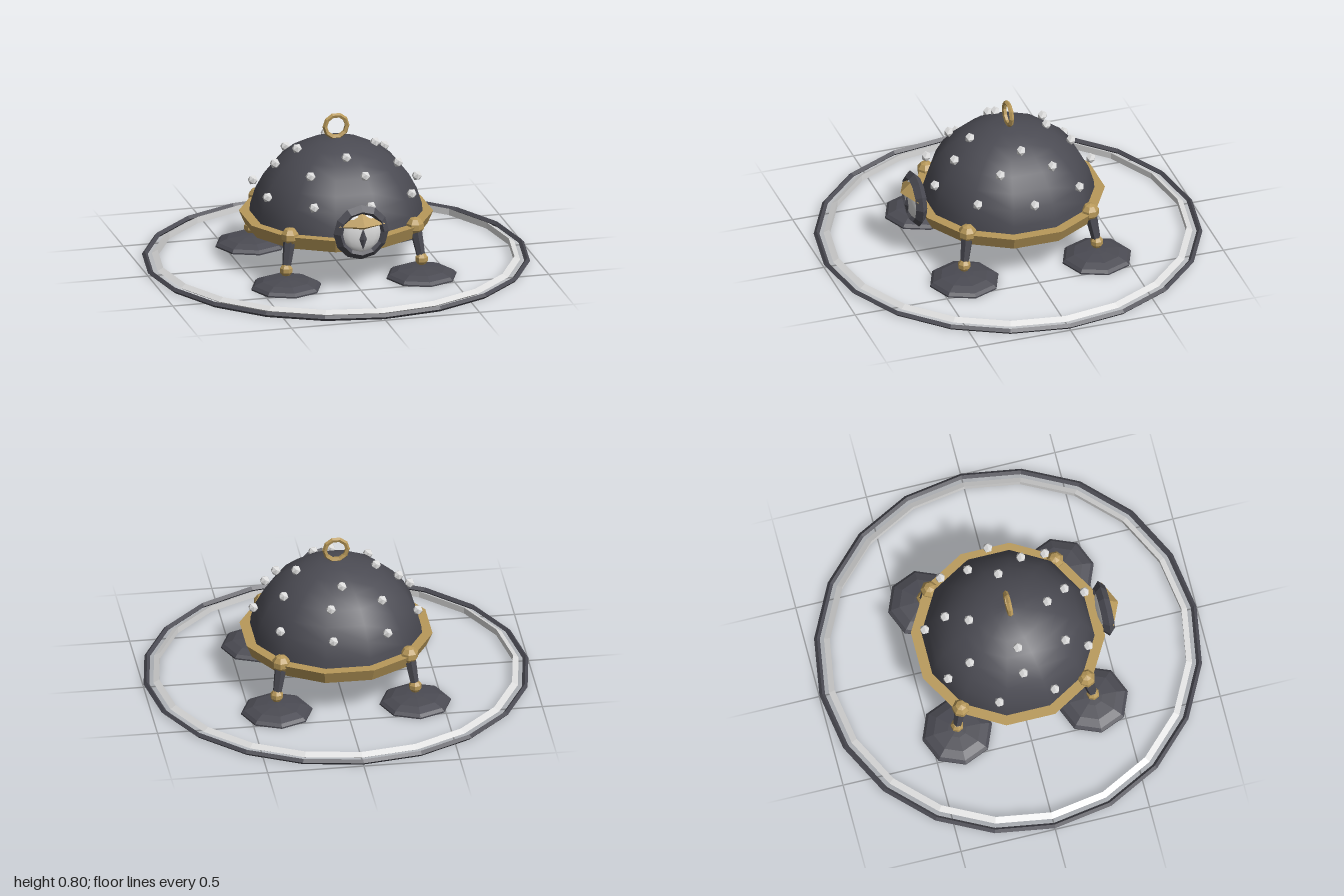
import * as THREE from 'three';

const flat = (name, color, flatShading = false) => {
  const m = new THREE.MeshStandardMaterial({ color, flatShading });
  m.name = name;
  return m;
};

export function createModel() {
  const model = new THREE.Group();
  const dark = flat('charcoal', 0x4b4b53);
  const gold = flat('gold', 0xb8995a);
  const light = flat('paleGrey', 0xdcdcdc);
  dark.name = 'charcoal';

  // Facets come from unshared normals, so each colour needs only one material
  const facet = (geo) => {
    const g = geo.index ? geo.toNonIndexed() : geo;
    g.computeVertexNormals();
    return g;
  };
  const add = (name, geo, mat, x = 0, y = 0, z = 0, parent = model) => {
    const mesh = new THREE.Mesh(geo, mat);
    mesh.name = name;
    mesh.position.set(x, y, z);
    parent.add(mesh);
    return mesh;
  };

  // Domed shell, twelve sides with flats facing front and sides
  const dome = [];
  for (let i = 0; i <= 8; i++) {
    const a = (i / 8) * Math.PI / 2;
    dome.push(new THREE.Vector2(0.45 * Math.cos(a) + 1e-5, 0.23 + 0.44 * Math.sin(a)));
  }
  add('domeShell', new THREE.LatheGeometry(dome, 12, Math.PI / 12), dark);

  // Rim and underside
  add('rim', facet(new THREE.CylinderGeometry(0.5, 0.47, 0.07, 12).rotateY(Math.PI / 12)), gold, 0, 0.24, 0);

  // Rows of studs: count, radius, height, start angle
  const studGeo = facet(new THREE.IcosahedronGeometry(0.027, 0));
  for (const [n, r, y, start] of [[4, 0.208, 0.628, 0], [7, 0.325, 0.557, Math.PI], [9, 0.43, 0.427, 0]]) {
    for (let i = 0; i < n; i++) {
      const a = start + (i / n) * Math.PI * 2;
      add('stud', studGeo, light, r * Math.cos(a), y, r * Math.sin(a));
    }
  }

  // Loop on top
  add('topLoop', facet(new THREE.TorusGeometry(0.059, 0.013, 5, 10)), gold, 0, 0.733, 0);

  // Four legs with round joints and wide shallow feet
  const foot = [[0, 0.004], [0.185, 0.004], [0.185, 0.012], [0.17, 0.026], [0.125, 0.044], [0.05, 0.053], [0, 0.056]]
    .map(([r, y]) => new THREE.Vector2(r, y));
  const footGeo = facet(new THREE.LatheGeometry(foot, 8));
  const hipGeo = facet(new THREE.SphereGeometry(0.048, 7, 5));
  const ankleGeo = facet(new THREE.SphereGeometry(0.035, 7, 5));
  const legGeo = facet(new THREE.CylinderGeometry(0.034, 0.022, 0.18, 6));
  for (const sx of [-1, 1]) for (const sz of [-1, 1]) {
    const leg = new THREE.Group();
    leg.name = 'leg';
    model.add(leg);
    const hip = new THREE.Vector3(sx * 0.333, 0.272, sz * 0.333);
    const ankle = new THREE.Vector3(sx * 0.36, 0.1, sz * 0.36);
    add('hipJoint', hipGeo, gold, hip.x, hip.y, hip.z, leg);
    add('ankleJoint', ankleGeo, gold, ankle.x, ankle.y, ankle.z, leg);
    const mid = hip.clone().add(ankle).multiplyScalar(0.5);
    const strut = add('strut', legGeo, dark, mid.x, mid.y, mid.z, leg);
    strut.quaternion.setFromUnitVectors(new THREE.Vector3(0, 1, 0), hip.clone().sub(ankle).normalize());
    add('foot', footGeo, dark, sx * 0.36, 0, sz * 0.36, leg);
  }

  // Eye: frame, ball, pupil and pointed lid
  const eye = new THREE.Group();
  eye.name = 'eye';
  eye.position.set(0, 0.322, 0.508);
  model.add(eye);
  add('eyeFrame', facet(new THREE.TorusGeometry(0.117, 0.03, 4, 12)), dark, 0, 0, 0, eye);
  add('eyeball', new THREE.SphereGeometry(0.108, 14, 10).scale(1, 1, 0.38), light, 0, 0, 0, eye);
  add('pupil', facet(new THREE.OctahedronGeometry(1).scale(0.02, 0.058, 0.014)), dark, 0, -0.026, 0.04, eye);
  const T = [0, 0.108, 0.012], L = [-0.125, 0.042, 0.02], R = [0.125, 0.042, 0.02];
  const B = [0, 0.02, 0.03], P = [0, 0.048, 0.076], K = [0, 0.045, 0];
  const lid = new THREE.BufferGeometry();
  lid.setAttribute('position', new THREE.Float32BufferAttribute(
    [T, L, P, T, P, R, L, B, P, P, B, R, T, K, L, T, R, K, L, K, B, B, K, R].flat(), 3));
  lid.computeVertexNormals();
  add('eyelid', lid, gold, 0, 0, 0, eye);

  // Two thin hoops lying around the feet
  add('outerHoop', facet(new THREE.TorusGeometry(0.985, 0.015, 4, 20).rotateX(Math.PI / 2)), dark, 0, 0.02, 0);
  add('innerHoop', facet(new THREE.TorusGeometry(0.929, 0.02, 3, 20).rotateX(Math.PI / 2)), light, 0, 0.026, 0);

  return model;
}
